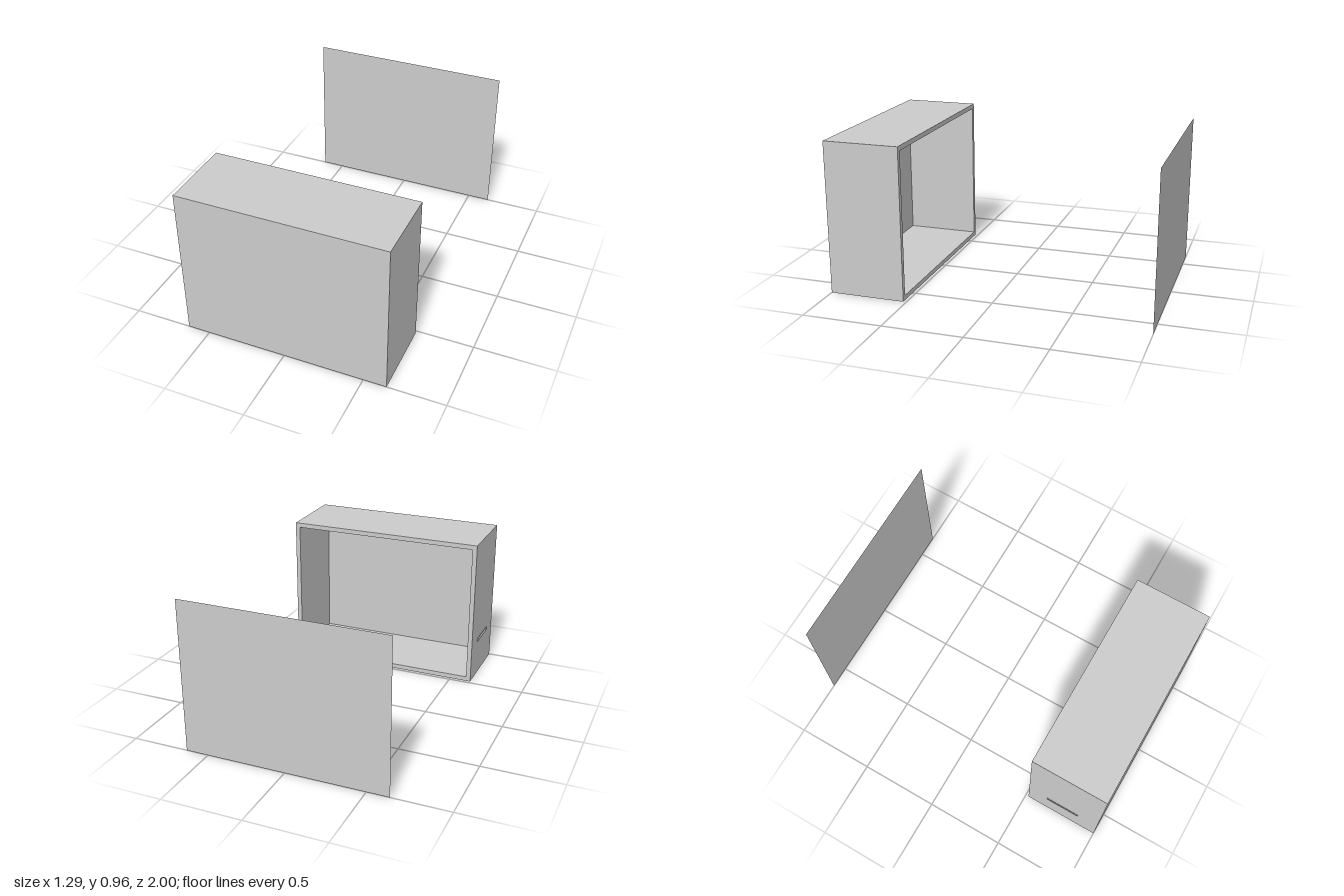
import * as THREE from 'three';

const LEFT = 0.643, RIGHT = -0.64, HEIGHT = 0.964;
const BACK = 0.52, FRONT = 1, WALL = 0.03, SKIN = 0.003, RECESS = 0.017;

const grey = new THREE.MeshStandardMaterial({ color: 0xcccccc, side: THREE.DoubleSide });

function rect(path, x0, y0, x1, y1) {
  path.moveTo(x0, y0).lineTo(x1, y0).lineTo(x1, y1).lineTo(x0, y1).closePath();
  return path;
}

// Rectangle with a rectangular hole, extruded along +z
function frame(outer, inner, depth) {
  const shape = rect(new THREE.Shape(), ...outer);
  shape.holes.push(rect(new THREE.Path(), ...inner));
  return new THREE.ExtrudeGeometry(shape, { depth, bevelEnabled: false });
}

// The same, drawn in (z, y) and extruded towards -x
const sideFrame = (outer, inner, depth) => frame(outer, inner, depth).rotateY(-Math.PI / 2);

export function createModel() {
  const group = new THREE.Group();
  const add = (name, geometry, x, y, z) => {
    const mesh = new THREE.Mesh(geometry, grey);
    mesh.name = name;
    mesh.position.set(x, y, z);
    group.add(mesh);
  };
  const width = LEFT - RIGHT, midX = (LEFT + RIGHT) / 2;

  // Four walls of the case, open at the back
  add('caseWalls', frame(
    [RIGHT + RECESS, 0, LEFT, HEIGHT],
    [RIGHT + WALL, WALL, LEFT - WALL, HEIGHT - WALL],
    FRONT - SKIN - BACK), 0, 0, BACK);

  // Outer layer of the right wall, cut by a shallow slot
  const slot = [0.653, 0.247, 0.862, 0.263];
  add('slottedSide', sideFrame([BACK, 0, FRONT - SKIN, HEIGHT], slot, RECESS), RIGHT + RECESS, 0, 0);

  // Thin raised rim around the slot
  add('slotRim', sideFrame([0.649, 0.243, 0.866, 0.267], slot, SKIN), RIGHT, 0, 0);

  // Thin front panel closing the case
  add('frontPanel', new THREE.BoxGeometry(width, HEIGHT, SKIN), midX, HEIGHT / 2, FRONT - SKIN / 2);

  // Detached back panel, standing well behind the case
  add('backPanel', new THREE.PlaneGeometry(width, HEIGHT), midX, HEIGHT / 2, -1);

  return group;
}
